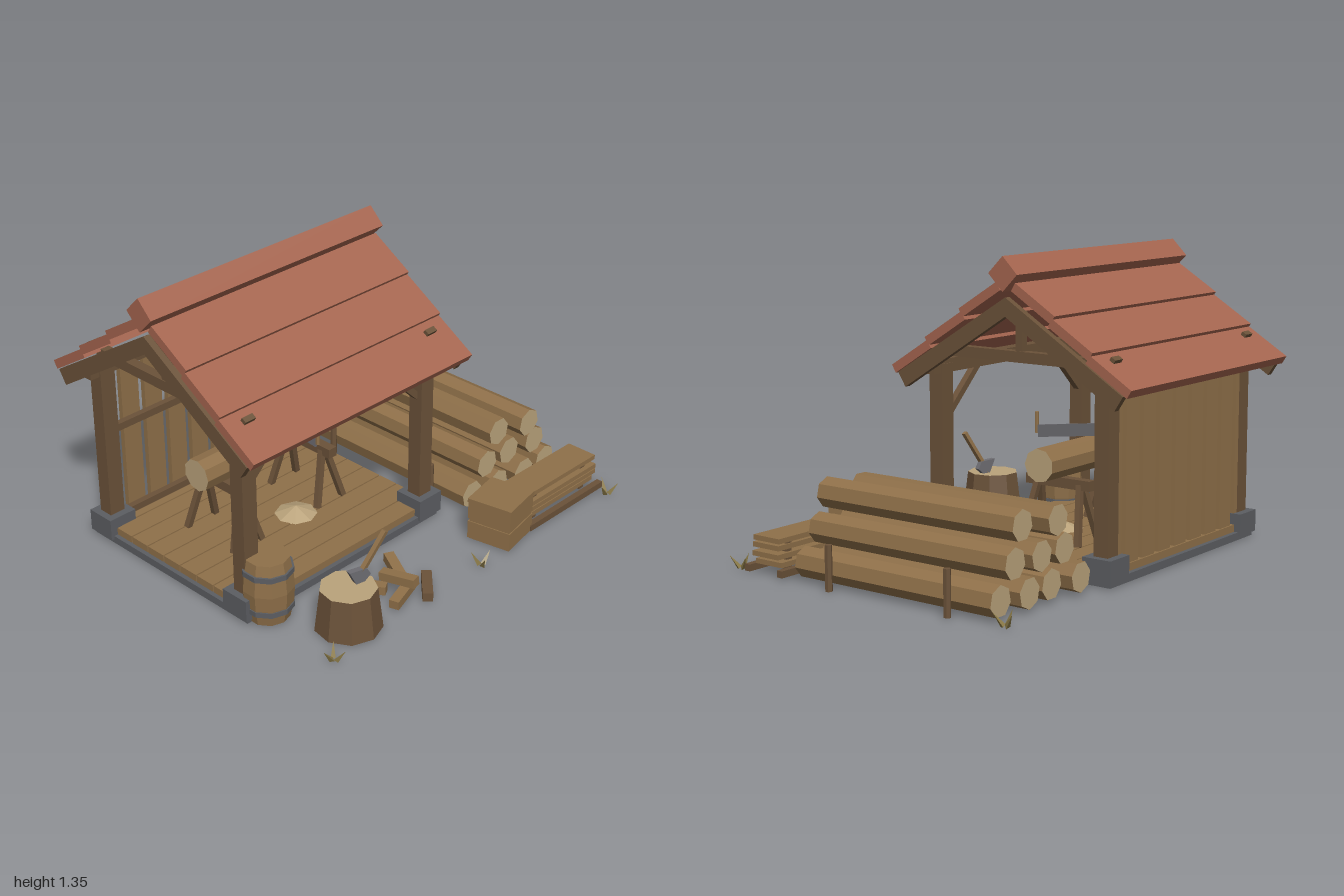
import * as THREE from 'three';

const mat = (name, color) => {
  const m = new THREE.MeshStandardMaterial({ color });
  m.name = name;
  return m;
};

export function createModel() {
  const wood = mat('wood', 0x8f7049), darkWood = mat('darkWood', 0x6b5239);
  const paleWood = mat('paleWood', 0xbaa37b), tile = mat('roofRed', 0xa5654f);
  const stone = mat('stone', 0x5c5e62), metal = mat('metal', 0x6e6d72);
  const dry = mat('dryGrass', 0x8c7b48);
  dry.side = THREE.DoubleSide;
  for (const m of [wood, darkWood, paleWood, tile, stone, metal, dry]) m.flatShading = true;

  const model = new THREE.Group();
  const CX = -0.34, CZ = -0.19;
  const part = (name, parent = model) => {
    const g = new THREE.Group();
    g.name = name;
    parent.add(g);
    return g;
  };
  const add = (parent, name, geo, material, x = 0, y = 0, z = 0) => {
    const m = new THREE.Mesh(geo, material);
    m.name = name;
    m.position.set(x, y, z);
    parent.add(m);
    return m;
  };
  const box = (parent, name, material, w, h, d, x, y, z) =>
    add(parent, name, new THREE.BoxGeometry(w, h, d), material, x, y, z);
  // Beam of section w x d running between two points
  const beam = (parent, name, material, a, b, w, d = w) => {
    const p = new THREE.Vector3(...a), q = new THREE.Vector3(...b);
    const m = box(parent, name, material, w, p.distanceTo(q), d, 0, 0, 0);
    m.position.copy(p).add(q).multiplyScalar(0.5);
    m.quaternion.setFromUnitVectors(new THREE.Vector3(0, 1, 0), q.sub(p).normalize());
    return m;
  };
  const logGeo = (r, len, sides) => new THREE.CylinderGeometry(r, r, len, sides);
  const logMats = [wood, paleWood, paleWood];

  // Stone base and plank floor
  const base = part('base');
  box(base, 'foundation', stone, 1.17, 0.035, 0.99, CX, 0.0185, CZ);
  for (let i = 0; i < 9; i++)
    box(base, 'floorPlank', wood, 1.13, 0.035, 0.099, CX, 0.052, CZ + (i - 4) * 0.106);

  // Posts on stone feet, plates and knee braces
  const frame = part('frame');
  for (const sx of [-1, 1]) {
    const x = CX + sx * 0.53;
    for (const sz of [-1, 1]) {
      const z = CZ + sz * 0.435;
      box(frame, 'postFoot', stone, 0.14, 0.1, 0.14, x, 0.07, z);
      box(frame, 'post', darkWood, 0.076, 0.77, 0.07, x, 0.465, z);
    }
    beam(frame, 'kneeBrace', darkWood, [x - sx * 0.03, 0.62, 0.24], [x - sx * 0.26, 0.84, 0.24], 0.03);
    box(frame, 'tieBeam', darkWood, 0.045, 0.047, 0.87, x, 0.912, CZ);
    box(frame, 'kingPost', darkWood, 0.035, 0.19, 0.035, x, 1.01, CZ);
  }
  for (const sz of [-1, 1])
    box(frame, 'wallPlate', darkWood, 1.23, 0.06, 0.06, CX, 0.84, CZ + sz * 0.435);

  // Back wall boards with rails
  const wall = part('backWall');
  for (let i = 0; i < 9; i++)
    box(wall, 'wallBoard', wood, 0.095, 0.77, 0.024, CX + (i - 4) * 0.128, 0.455, -0.645);
  for (const y of [0.525, 0.085])
    box(wall, 'wallRail', darkWood, 1.0, 0.034, 0.03, CX, y, -0.618);

  // Roof: chevron rafters, overlapping courses, pegs and ridge cap
  const roof = part('roof');
  roof.position.set(CX, 0, CZ);
  const chevron = new THREE.Shape([[0, 1.17], [-0.585, 0.81], [-0.545, 0.748], [0, 1.09],
    [0.545, 0.748], [0.585, 0.81]].map(p => new THREE.Vector2(...p)));
  const rafterGeo = new THREE.ExtrudeGeometry(chevron, { depth: 0.03, bevelEnabled: false });
  rafterGeo.translate(0, 0, -0.015).rotateY(Math.PI / 2);
  for (const sx of [-1, 1]) add(roof, 'rafter', rafterGeo, darkWood, sx * 0.628);
  const tilt = 0.555, len = 0.235, thick = 0.04;
  for (const s of [-1, 1]) {
    for (let i = 0; i < 3; i++) {
      const z = 0.623 - 0.187 * i - Math.cos(tilt) * len / 2 - Math.sin(tilt) * thick / 2;
      const y = 0.838 + 0.135 * i + Math.sin(tilt) * len / 2 - Math.cos(tilt) * thick / 2;
      box(roof, 'roofCourse', tile, 1.28, thick, len, 0, y, s * z).rotation.x = s * tilt;
    }
    for (const sx of [-1, 1])
      box(roof, 'roofPeg', darkWood, 0.055, 0.025, 0.025, sx * 0.53, 0.935, s * 0.475).rotation.x = s * tilt;
  }
  box(roof, 'ridgeCap', tile, 1.32, 0.105, 0.105, 0, 1.268, 0).rotation.x = Math.PI / 4;

  // Sawhorses carrying a log
  const bench = part('sawBench');
  for (const x of [-0.6, -0.095]) {
    box(bench, 'horseBeam', darkWood, 0.045, 0.045, 0.34, x, 0.33, CZ);
    for (const sx of [-1, 1]) for (const sz of [-1, 1])
      beam(bench, 'horseLeg', darkWood, [x + sx * 0.08, 0.07, CZ + sz * 0.15],
        [x + sx * 0.008, 0.335, CZ + sz * 0.11], 0.026);
  }
  const benchLog = add(bench, 'benchLog', logGeo(0.075, 0.81, 9), logMats, CX, 0.425, CZ);
  benchLog.rotation.z = Math.PI / 2;

  // Two-man saw
  const saw = part('saw');
  box(saw, 'sawBlade', metal, 0.01, 0.056, 0.515, -0.28, 0.533, CZ).rotation.x = 0.125;
  for (const [z, y] of [[0.073, 0.54], [-0.455, 0.607]])
    add(saw, 'sawHandle', new THREE.CylinderGeometry(0.01, 0.01, 0.097, 6), wood, -0.28, y, z);
  add(model, 'sawdust', new THREE.ConeGeometry(0.1, 0.04, 8), paleWood, -0.27, 0.088, -0.08);

  // Log pile: rows of 4, 3 and 2, held by stakes
  const pile = part('logPile');
  const ends = [[[0.39, -0.64], [0.41, -0.61], [0.43, -0.62], [0.425, -0.6]],
    [[0.405, -0.615], [0.4, -0.62], [0.42, -0.61]], [[0.4, -0.64], [0.445, -0.585]]];
  ends.forEach((row, r) => row.forEach(([front, back], i) => {
    const m = add(pile, 'log', logGeo(0.066, front - back, 7), logMats,
      0.39 + r * 0.08 + i * 0.16, 0.075 + r * 0.133, (front + back) / 2);
    m.rotation.set(Math.PI / 2, (r + i) * 0.45, 0);
  }));
  for (const x of [0.305, 0.96]) for (const z of [0.21, -0.41])
    add(pile, 'stake', new THREE.CylinderGeometry(0.016, 0.016, 0.195, 6), darkWood, x, 0.0975, z);

  // Sawn boards on ground rails
  const boards = part('boardStack');
  for (const z of [0.505, 0.695])
    box(boards, 'groundRail', darkWood, 0.525, 0.03, 0.03, 0.683, 0.02, z);
  for (let i = 0; i < 4; i++)
    box(boards, 'board', wood, 0.49, 0.022, 0.15, 0.675 + (i % 2) * 0.012, 0.05 + i * 0.035, 0.6 + (i % 3 - 1) * 0.008);
  for (const x of [0.5, 0.85])
    box(boards, 'spacer', darkWood, 0.03, 0.13, 0.12, x, 0.085, 0.6);

  // Crate with lid and skirt
  const crate = part('crate');
  crate.position.set(0.31, 0, 0.62);
  crate.rotation.y = 0.19;
  box(crate, 'crateBody', wood, 0.2, 0.2, 0.2, 0, 0.102, 0);
  for (const y of [0.05, 0.15]) box(crate, 'crateSlats', wood, 0.21, 0.085, 0.21, 0, y, 0);
  box(crate, 'crateLid', wood, 0.215, 0.018, 0.215, 0, 0.2, 0);

  // Barrel
  const barrel = part('barrel');
  barrel.position.set(-0.815, 0, 0.315);
  const bulge = [[0, 0.003], [0.092, 0.003], [0.108, 0.08], [0.113, 0.15], [0.108, 0.22], [0.094, 0.295], [0, 0.295]];
  add(barrel, 'staves', new THREE.LatheGeometry(bulge.map(p => new THREE.Vector2(...p)), 10), wood);
  for (const y of [0.065, 0.235])
    add(barrel, 'hoop', new THREE.CylinderGeometry(0.112, 0.112, 0.024, 10), stone, 0, y, 0);

  // Chopping stump and axe
  const stump = part('choppingBlock');
  add(stump, 'stump', new THREE.CylinderGeometry(0.122, 0.145, 0.19, 9), [darkWood, paleWood, darkWood], -0.64, 0.095, 0.605);
  beam(stump, 'axeHandle', wood, [-0.6, 0.19, 0.605], [-0.47, 0.4, 0.647], 0.02);
  const blade = new THREE.Shape([[-0.055, 0.04], [0.03, 0.035], [0.05, 0], [0.02, -0.025], [-0.015, -0.04]]
    .map(p => new THREE.Vector2(...p)));
  const bladeGeo = new THREE.ExtrudeGeometry(blade, { depth: 0.026, bevelEnabled: false });
  add(stump, 'axeHead', bladeGeo, metal, -0.58, 0.215, 0.598).rotation.y = -0.2;

  // Split firewood: x, y, z, turn, lean, material
  const firewood = part('firewood');
  for (const [x, y, z, turn, lean, m] of [[-0.42, 0.03, 0.5, -1.03, 0, wood], [-0.28, 0.07, 0.535, 1.12, 0.1, wood],
    [-0.36, 0.035, 0.65, 0.3, 0.05, wood], [-0.33, 0.075, 0.6, -1.35, 0.1, wood], [-0.24, 0.03, 0.68, 0.77, 0, darkWood]])
    box(firewood, 'splitLog', m, 0.17, 0.04, 0.045, x, y, z).rotation.set(0, turn, lean);

  // Dry grass tufts of three leaning blades
  for (const [x, z] of [[0.93, -0.67], [-0.85, 0.73], [0.07, 0.72], [0.92, 0.755]]) {
    const tuft = part('grassTuft');
    tuft.position.set(x, 0, z);
    for (let i = 0; i < 3; i++) {
      const a = i * 2.1 + x;
      const leaf = add(tuft, 'grassBlade', new THREE.ConeGeometry(0.013, 0.07, 3), dry,
        Math.cos(a) * 0.03, 0.032, Math.sin(a) * 0.03);
      leaf.rotation.set(Math.sin(a) * 0.65, 0, -Math.cos(a) * 0.65);
    }
  }
  return model;
}
